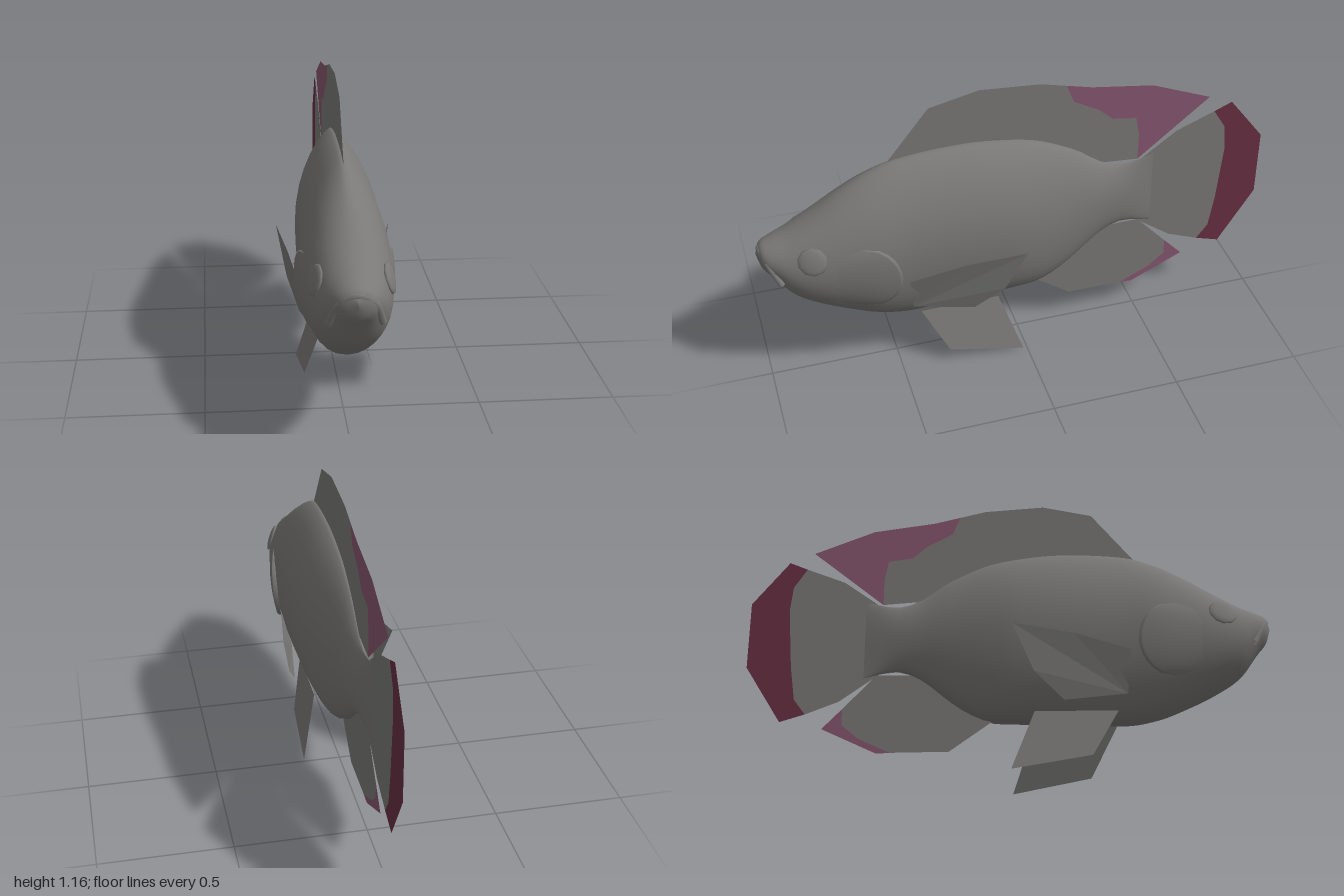
import * as THREE from 'three';

const paint = (name, color) => new THREE.MeshStandardMaterial({ name, color, side: THREE.DoubleSide });

// body stations from nose to tail: z, top, bottom, half width
const STATIONS = [
  [1.0, 0.61, 0.6, 0], [0.985, 0.642, 0.55, 0.05], [0.95, 0.66, 0.505, 0.082],
  [0.88, 0.69, 0.41, 0.117], [0.78, 0.75, 0.34, 0.142], [0.67, 0.825, 0.285, 0.155],
  [0.57, 0.882, 0.245, 0.16], [0.45, 0.922, 0.222, 0.156], [0.2, 0.937, 0.23, 0.152],
  [0.03, 0.92, 0.232, 0.14], [-0.08, 0.895, 0.24, 0.118], [-0.18, 0.85, 0.29, 0.092],
  [-0.25, 0.81, 0.345, 0.074], [-0.33, 0.75, 0.41, 0.053], [-0.42, 0.718, 0.445, 0.033],
  [-0.55, 0.74, 0.42, 0],
];

// smooth (Hermite) lookup of one station column at z
function station(z, col) {
  const S = STATIONS, n = S.length;
  let i = 0;
  while (i < n - 2 && z < S[i + 1][0]) i++;
  const slope = (k) => {
    const a = S[Math.max(k - 1, 0)], b = S[Math.min(k + 1, n - 1)];
    return (b[col] - a[col]) / (b[0] - a[0]);
  };
  const h = S[i + 1][0] - S[i][0], t = (z - S[i][0]) / h, t2 = t * t, t3 = t2 * t;
  return (2 * t3 - 3 * t2 + 1) * S[i][col] + (t3 - 2 * t2 + t) * h * slope(i)
    + (3 * t2 - 2 * t3) * S[i + 1][col] + (t3 - t2) * h * slope(i + 1);
}

// point on the body skin; angle 0 is the back ridge, PI the belly
function skin(z, angle, offset = 0) {
  const top = station(z, 1), bottom = station(z, 2), w = Math.max(station(z, 3), 0);
  const ridge = 1 - THREE.MathUtils.smoothstep(z, 0.4, 0.85);
  const s = Math.sin(angle), c = Math.cos(angle);
  const power = c > 0 ? 1 + 0.45 * ridge : 1 - 0.15 * ridge;
  const x = Math.sign(s) * (w * Math.pow(Math.abs(s), power) + offset);
  return new THREE.Vector3(x, (top + bottom) / 2 + c * (top - bottom) / 2, z);
}

// surface from a grid of points, optionally closed around each row
function grid(rows, cols, pointAt, closed = false) {
  const pos = [], index = [], n = closed ? cols : cols + 1;
  for (let i = 0; i <= rows; i++)
    for (let j = 0; j < n; j++) pos.push(...pointAt(i / rows, j / cols).toArray());
  for (let i = 0; i < rows; i++)
    for (let j = 0; j < cols; j++) {
      const a = i * n + j, b = i * n + (j + 1) % n;
      index.push(a, b, a + n, b, b + n, a + n);
    }
  const g = new THREE.BufferGeometry();
  g.setAttribute('position', new THREE.Float32BufferAttribute(pos, 3));
  g.setIndex(index);
  g.computeVertexNormals();
  return g;
}

// flat fin on the centre plane from [z, y] corners
function centreFin(corners) {
  const shape = new THREE.Shape(corners.map(([z, y]) => new THREE.Vector2(-z, y)));
  return new THREE.ShapeGeometry(shape).rotateY(Math.PI / 2);
}

// thin paired fin as a fan of [x, y, z] corners
function sideFin(corners, side) {
  const pos = [];
  for (let i = 1; i < corners.length - 1; i++)
    for (const [x, y, z] of [corners[0], corners[i], corners[i + 1]]) pos.push(x * side, y, z);
  const g = new THREE.BufferGeometry();
  g.setAttribute('position', new THREE.Float32BufferAttribute(pos, 3));
  g.computeVertexNormals();
  return g;
}

export function createModel() {
  const model = new THREE.Group();
  model.name = 'fish';
  const grey = paint('scaleGrey', 0x7a7977);
  const mauve = paint('finMauve', 0x87566f);
  const wine = paint('tailWine', 0x683043);
  const add = (name, geometry, material = grey) => {
    const mesh = new THREE.Mesh(geometry, material);
    mesh.name = name;
    model.add(mesh);
    return mesh;
  };

  // body, with closer rings near the snout
  add('body', grid(56, 32, (u, v) => skin(1 - 1.55 * Math.pow(u, 1.6), v * Math.PI * 2), true));

  // arched upper lip
  const lip = new THREE.CatmullRomCurve3([
    [-0.09, 0.51, 0.925], [-0.056, 0.595, 0.967], [0, 0.626, 0.984],
    [0.056, 0.595, 0.967], [0.09, 0.51, 0.925],
  ].map((p) => new THREE.Vector3(...p)));
  add('upperLip', new THREE.TubeGeometry(lip, 20, 0.013, 6));

  // dorsal fin and its coloured rear
  const dorsalEdge = [[-0.19, 1.115], [-0.22, 1.04], [-0.32, 0.985], [-0.375, 0.935],
    [-0.47, 0.92], [-0.485, 0.84], [-0.485, 0.73]];
  add('dorsalFin', centreFin([[0.49, 0.915], [0.33, 1.115], [0.14, 1.157], [-0.09, 1.14],
    ...dorsalEdge, [-0.33, 0.742], [-0.22, 0.78], [0.1, 0.87]]));
  add('dorsalFinTip', centreFin([...dorsalEdge, [-0.765, 0.96], [-0.53, 1.055], [-0.29, 1.09]]), mauve);

  // anal fin and its coloured tip
  const analEdge = [[-0.625, 0.295], [-0.625, 0.23], [-0.56, 0.175], [-0.44, 0.118]];
  add('analFin', centreFin([[-0.06, 0.237], [-0.1, 0.32], [-0.33, 0.43], [-0.5, 0.432],
    ...analEdge, [-0.22, 0.12]]));
  add('analFinTip', centreFin([...analEdge, [-0.49, 0.115], [-0.7, 0.215]]), mauve);

  // tail fin and its coloured rim
  const tailEdge = [[-0.79, 0.89], [-0.84, 0.81], [-0.85, 0.71], [-0.83, 0.47],
    [-0.81, 0.335], [-0.765, 0.275]];
  add('tailFin', centreFin([[-0.4, 0.715], [-0.49, 0.72], [-0.64, 0.83], ...tailEdge,
    [-0.64, 0.325], [-0.49, 0.435], [-0.4, 0.447]]));
  add('tailFinRim', centreFin([...tailEdge, [-0.86, 0.245], [-1, 0.47], [-1, 0.74], [-0.86, 0.92]]), wine);

  for (const side of [1, -1]) {
    const label = side > 0 ? 'left' : 'right';

    // gill cover: swells off the skin, then folds back under its rear edge
    add(label + 'GillCover', grid(14, 12, (u, v) => {
      const bulge = Math.pow(Math.max(Math.sin(Math.PI * v), 0), 0.6);
      const angle = THREE.MathUtils.lerp(1.25, 2.3, v);
      const s = Math.min(u / 0.9, 1), rear = 0.63 - 0.14 * bulge;
      const lift = u > 0.95 ? -0.006 : 0.018 * s * bulge - 0.003 * (1 - s);
      return skin(THREE.MathUtils.lerp(0.76, rear, s), angle * side, lift);
    }));

    // eye: shallow dome lying along the cheek
    const at = skin(0.81, 1.16 * side);
    const along = skin(0.79, 1.16 * side).sub(skin(0.83, 1.16 * side));
    const down = skin(0.81, 1.26 * side).sub(skin(0.81, 1.06 * side));
    const normal = down.cross(along).normalize().multiplyScalar(side);
    const eye = add(label + 'Eye', new THREE.SphereGeometry(0.056, 10, 8).rotateX(Math.PI / 2).scale(1, 1, 0.22));
    eye.position.copy(at);
    eye.quaternion.setFromUnitVectors(new THREE.Vector3(0, 0, 1), normal);

    // paired fins
    add(label + 'PectoralFin', sideFin([[0.11, 0.3, 0.445], [0.152, 0.46, 0.46], [0.182, 0.515, 0.25],
      [0.215, 0.545, 0.02], [0.18, 0.365, 0.1], [0.14, 0.265, 0.21]], side));
    add(label + 'PelvicFin', sideFin([[0.082, 0.245, 0.41], [0.128, 0.055, 0.31],
      [0.142, 0, 0.015], [0.082, 0.245, 0.1]], side));
  }
  return model;
}
